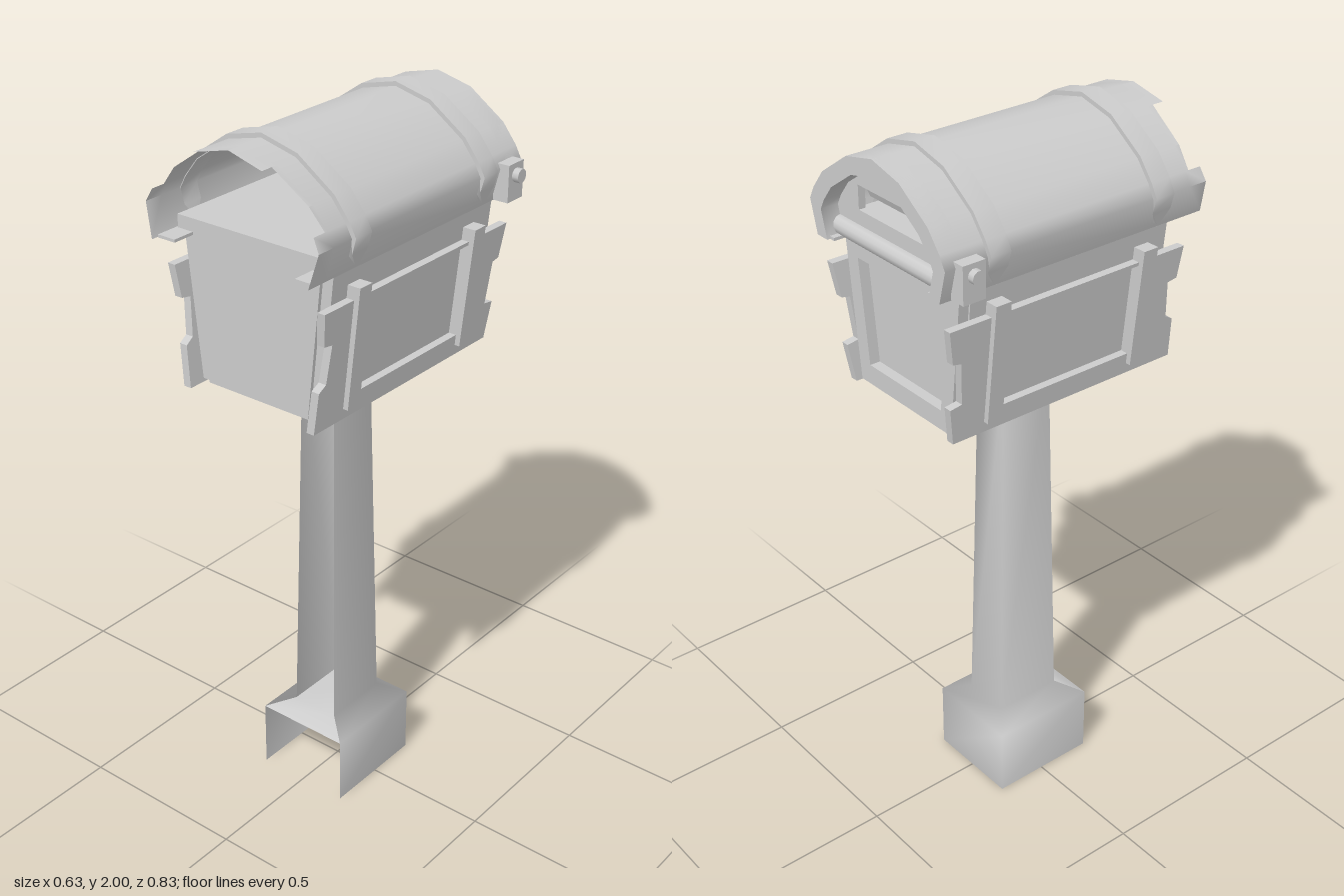
import * as THREE from 'three';
import { toCreasedNormals } from 'three/addons/utils/BufferGeometryUtils.js';

const material = new THREE.MeshStandardMaterial({ color: 0xcccccc, side: THREE.DoubleSide });

function add(parent, name, geometry, x = 0, y = 0, z = 0) {
  const mesh = new THREE.Mesh(geometry, material);
  mesh.name = name;
  mesh.position.set(x, y, z);
  parent.add(mesh);
  return mesh;
}

function shapeOf(points) {
  return new THREE.Shape(points.map(([x, y]) => new THREE.Vector2(x, y)));
}

function extrude(shape, z0, z1) {
  return new THREE.ExtrudeGeometry(shape, { depth: z1 - z0, bevelEnabled: false }).translate(0, 0, z0);
}

function indexed(positions, indices) {
  const g = new THREE.BufferGeometry();
  g.setAttribute('position', new THREE.Float32BufferAttribute(positions, 3));
  g.setIndex(indices);
  g.computeVertexNormals();
  return g;
}

// Half width of the tapering box at height y
const halfWidth = (y) => 0.187 + (y - 1.3) * 0.11;

// Arched lid outline, from the +x rim over the top to the -x rim
const halfArch = [[0.247, 1.71], [0.271, 1.8], [0.252, 1.835], [0.21, 1.888], [0.105, 1.96], [0, 1.985]];
const mirrored = (half) => [...half, ...half.slice(0, -1).reverse().map(([x, y]) => [-x, y])];

function archOffset(o, half = halfArch) {
  const k = 1 + o / 0.27;
  return mirrored(half.map(([x, y]) => [x * k, 1.71 + (y - 1.71) * k]));
}

function archBand(inner, outer, z0, z1, half) {
  return extrude(shapeOf([...archOffset(outer, half), ...archOffset(inner, half).reverse()]), z0, z1);
}

// Channel-shaped post, open towards +z, with a wide foot
function postGeometry() {
  const rows = [[0, 0.14, 0.165, -0.15], [0.2, 0.14, 0.165, -0.15], [0.23, 0.07, 0.105, -0.095], [1.32, 0.053, 0.083, -0.07]];
  const positions = [], indices = [];
  rows.forEach(([y, x, front, back], r) => {
    positions.push(x, y, front, x, y, back, -x, y, back, -x, y, front);
    if (r === 0) return;
    for (let i = 0; i < 3; i++) {
      const a = (r - 1) * 4 + i, b = r * 4 + i;
      indices.push(a, a + 1, b + 1, a, b + 1, b);
    }
  });
  return indexed(positions, indices);
}

// Sloped front shoulder of the foot and the floor inside the post
function footTopGeometry() {
  const rows = [[0.14, 0.2, 0.165], [0.07, 0.23, 0.105], [0.07, 0.23, -0.095]];
  const positions = rows.flatMap(([x, y, z]) => [-x, y, z, x, y, z]);
  return indexed(positions, [0, 1, 3, 0, 3, 2, 2, 3, 5, 2, 5, 4]);
}

// Lid skin with a broken plank edge at the front
function lidGeometry() {
  const arch = mirrored(halfArch), n = arch.length - 1;
  const ends = [[0.415, 0.405], [0.405, 0.4], [0.36, 0.365], [0.365, 0.37], [0.405, 0.4]];
  const positions = [], indices = [];
  for (const [x, y] of arch) positions.push(x, y, -0.415, x, y, 0.35);
  const quad = (a, b, c, d) => indices.push(a, d, c, a, c, b);
  for (let i = 0; i < n; i++) {
    const [z0, z1] = i < n / 2 ? ends[i] : [...ends[n - 1 - i]].reverse();
    const t = positions.length / 3;
    positions.push(...arch[i], z0, ...arch[i + 1], z1);
    quad(2 * i, 2 * i + 1, 2 * i + 3, 2 * i + 2);
    quad(2 * i + 1, t, t + 1, 2 * i + 3);
  }
  return indexed(positions, indices);
}

// Plate or strip drawn in the side plane (-z, y) and leaned along the box wall
function leaning(shape, inner, outer) {
  const g = extrude(shape, inner, outer).rotateY(Math.PI / 2);
  const p = g.attributes.position;
  for (let i = 0; i < p.count; i++) p.setX(i, p.getX(i) + halfWidth(p.getY(i)));
  g.computeVertexNormals();
  return g;
}

const sideRect = (z0, z1, y0, y1) => [[-z1, y0], [-z0, y0], [-z0, y1], [-z1, y1]];

function sideFrameGeometry() {
  const shape = shapeOf([
    [-0.36, 1.3], [0.36, 1.3], [0.375, 1.405], [0.34, 1.41], [0.35, 1.53], [0.375, 1.535], [0.39, 1.63],
    [-0.36, 1.63], [-0.35, 1.54], [-0.32, 1.535], [-0.33, 1.43], [-0.355, 1.415],
  ]);
  shape.holes.push(shapeOf(sideRect(-0.225, 0.205, 1.36, 1.62)));
  return leaning(shape, 0.005, 0.028);
}

// Strap over the lid, narrowing to a point at both ends
function strapGeometry() {
  const half = [[0.251, 1.725], [0.26, 1.76], ...halfArch.slice(1)];
  const g = archBand(-0.002, 0.012, -0.03, 0.03, half);
  const p = g.attributes.position;
  for (let i = 0; i < p.count; i++) if (p.getY(i) < 1.74) p.setZ(i, p.getZ(i) * 0.2);
  return toCreasedNormals(g, 0.8);
}

function trapezoid(y0, y1, inset) {
  const a = halfWidth(y0) - inset, b = halfWidth(y1) - inset;
  return [[-a, y0], [a, y0], [b, y1], [-b, y1]];
}

export function createModel() {
  const model = new THREE.Group();
  model.name = 'postBox';

  add(model, 'post', postGeometry());
  add(model, 'footTop', footTopGeometry());

  // Tapered box with a framed panel at the back and a ledge on top
  add(model, 'boxBody', extrude(shapeOf(trapezoid(1.31, 1.71, 0.025)), -0.315, 0.32));
  const frame = shapeOf(trapezoid(1.305, 1.71, 0));
  frame.holes.push(shapeOf(trapezoid(1.36, 1.65, 0.045)));
  add(model, 'backFrame', extrude(frame, -0.345, -0.315));
  add(model, 'ledge', new THREE.BoxGeometry(0.48, 0.045, 0.7), 0, 1.73, -0.02);
  const lip = add(model, 'slotLip', new THREE.CylinderGeometry(0.025, 0.025, 0.47, 12), 0, 1.735, -0.365);
  lip.rotation.z = Math.PI / 2;

  // Side panels, frames, upright strips, lid flanges and pegs on both sides
  for (const side of [1, -1]) {
    const group = new THREE.Group();
    group.name = side > 0 ? 'leftSide' : 'rightSide';
    group.scale.x = side;
    add(group, 'sidePanel', leaning(shapeOf(sideRect(-0.315, 0.31, 1.31, 1.71)), -0.025, 0.005));
    add(group, 'sideFrame', sideFrameGeometry());
    for (const z of [0.228, -0.243]) {
      const strip = shapeOf(sideRect(z - 0.023, z + 0.023, 1.33, 1.665));
      add(group, 'uprightStrip', leaning(strip, 0.005, 0.043));
    }
    add(group, 'lidFlange', new THREE.BoxGeometry(0.055, 0.008, 0.8), 0.218, 1.713, -0.005);
    add(group, 'pegPlate', new THREE.BoxGeometry(0.045, 0.1, 0.066), 0.275, 1.765, -0.352);
    const peg = add(group, 'peg', new THREE.CylinderGeometry(0.019, 0.019, 0.03, 10), 0.301, 1.783, -0.352);
    peg.rotation.z = Math.PI / 2;
    model.add(group);
  }

  // Arched lid, thick back rim and straps
  add(model, 'lid', lidGeometry());
  add(model, 'lidRim', toCreasedNormals(archBand(-0.045, 0, -0.415, -0.355), 0.8));
  for (const z of [0.255, -0.262]) add(model, 'lidStrap', strapGeometry(), 0, 0, z);

  // Back wall of the lid with the letter slot and its flap
  const wall = shapeOf(archOffset(-0.01));
  wall.holes.push(shapeOf([[-0.135, 1.8], [0.135, 1.8], [0.135, 1.865], [-0.135, 1.865]]));
  add(model, 'slotWall', extrude(wall, -0.365, -0.345));
  const flap = add(model, 'slotFlap', new THREE.BoxGeometry(0.27, 0.042, 0.008), 0, 1.847, -0.335);
  flap.rotation.x = -0.4;

  return model;
}
